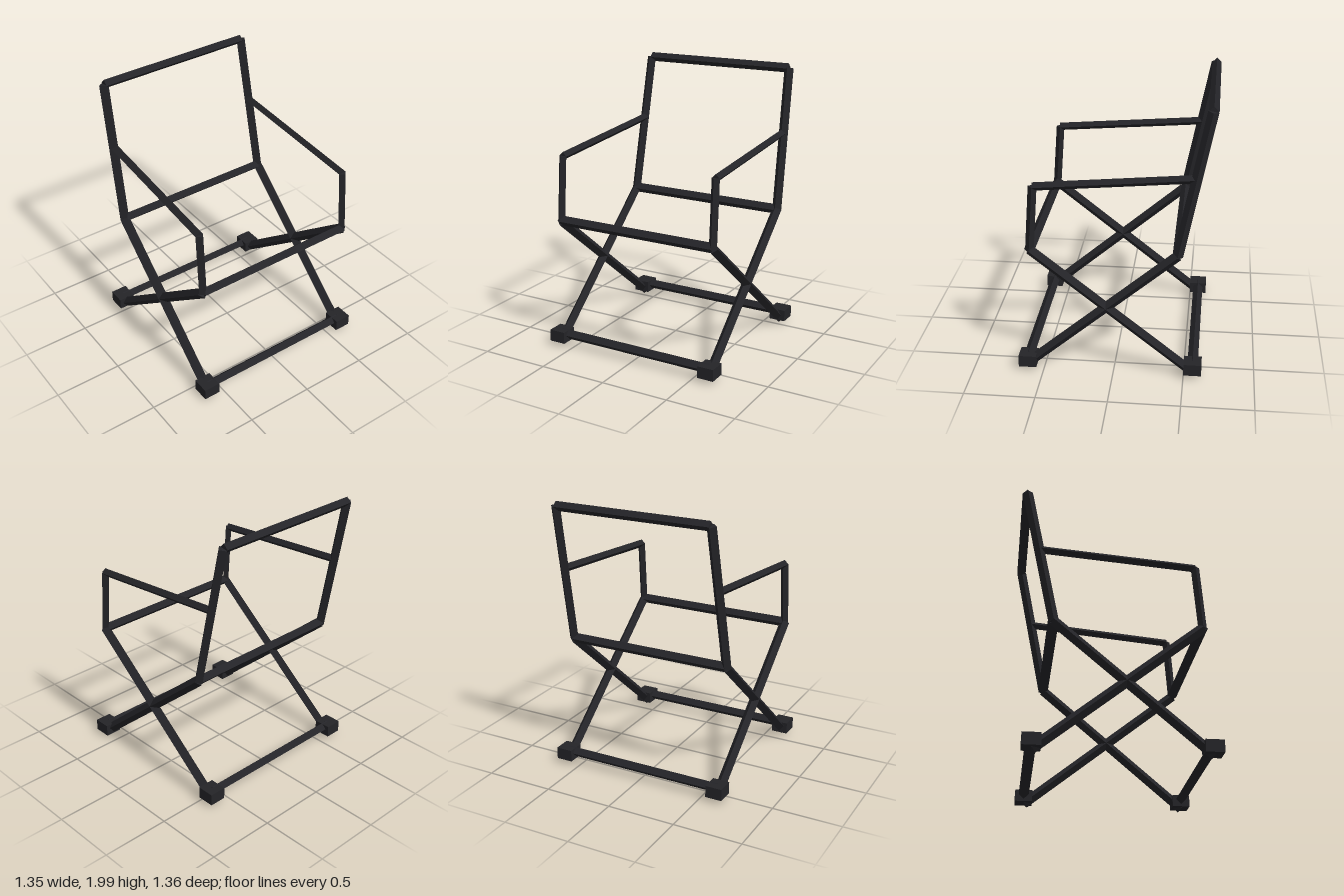
import * as THREE from 'three';

const material = new THREE.MeshStandardMaterial({ color: 0x242428, flatShading: true });
const UP = new THREE.Vector3(0, 1, 0);

// Four-sided bar between two points, with one edge facing straight out sideways
function bar(name, from, to, radius) {
  const a = new THREE.Vector3(...from);
  const b = new THREE.Vector3(...to);
  const dir = b.clone().sub(a);
  const mesh = new THREE.Mesh(new THREE.CylinderGeometry(radius, radius, dir.length(), 4), material);
  mesh.quaternion.setFromUnitVectors(UP, dir.normalize());
  mesh.position.copy(a).add(b).multiplyScalar(0.5);
  mesh.name = name;
  return mesh;
}

export function createModel() {
  const chair = new THREE.Group();
  chair.name = 'foldingChairFrame';

  // Side frames: crossed legs, back post, arm support, armrest and feet
  for (const [side, s] of [['left', 1], ['right', -1]]) {
    const frame = new THREE.Group();
    frame.name = side + 'SideFrame';
    const parts = [
      ['legToBack', [0.61, 0.036, 0.62], [0.61, 0.945, -0.44], 0.037],
      ['legToFront', [0.61, 0.036, -0.56], [0.61, 0.945, 0.575], 0.037],
      ['backPost', [0.61, 0.94, -0.44], [0.584, 1.966, -0.645], 0.036],
      ['armSupport', [0.61, 0.945, 0.575], [0.607, 1.415, 0.54], 0.03],
      ['armrest', [0.607, 1.413, 0.54], [0.59, 1.503, -0.55], 0.03],
    ];
    for (const [name, a, b, r] of parts) {
      frame.add(bar(name, [s * a[0], a[1], a[2]], [s * b[0], b[1], b[2]], r));
    }
    for (const [name, z] of [['frontFoot', 0.612], ['backFoot', -0.564]]) {
      const foot = new THREE.Mesh(new THREE.BoxGeometry(0.122, 0.086, 0.126), material);
      foot.position.set(s * 0.612, 0.082, z);
      foot.name = name;
      frame.add(foot);
    }
    chair.add(frame);
  }

  // Cross bars joining the two sides: name, half length, y, z, radius
  const crossBars = [
    ['topRail', 0.58, 1.966, -0.648, 0.034],
    ['backSeatRail', 0.61, 0.948, -0.442, 0.037],
    ['frontSeatRail', 0.61, 0.948, 0.575, 0.037],
    ['frontFloorRail', 0.61, 0.093, 0.612, 0.037],
    ['backFloorRail', 0.61, 0.093, -0.564, 0.037],
  ];
  for (const [name, half, y, z, r] of crossBars) {
    chair.add(bar(name, [-half, y, z], [half, y, z], r));
  }
  return chair;
}
